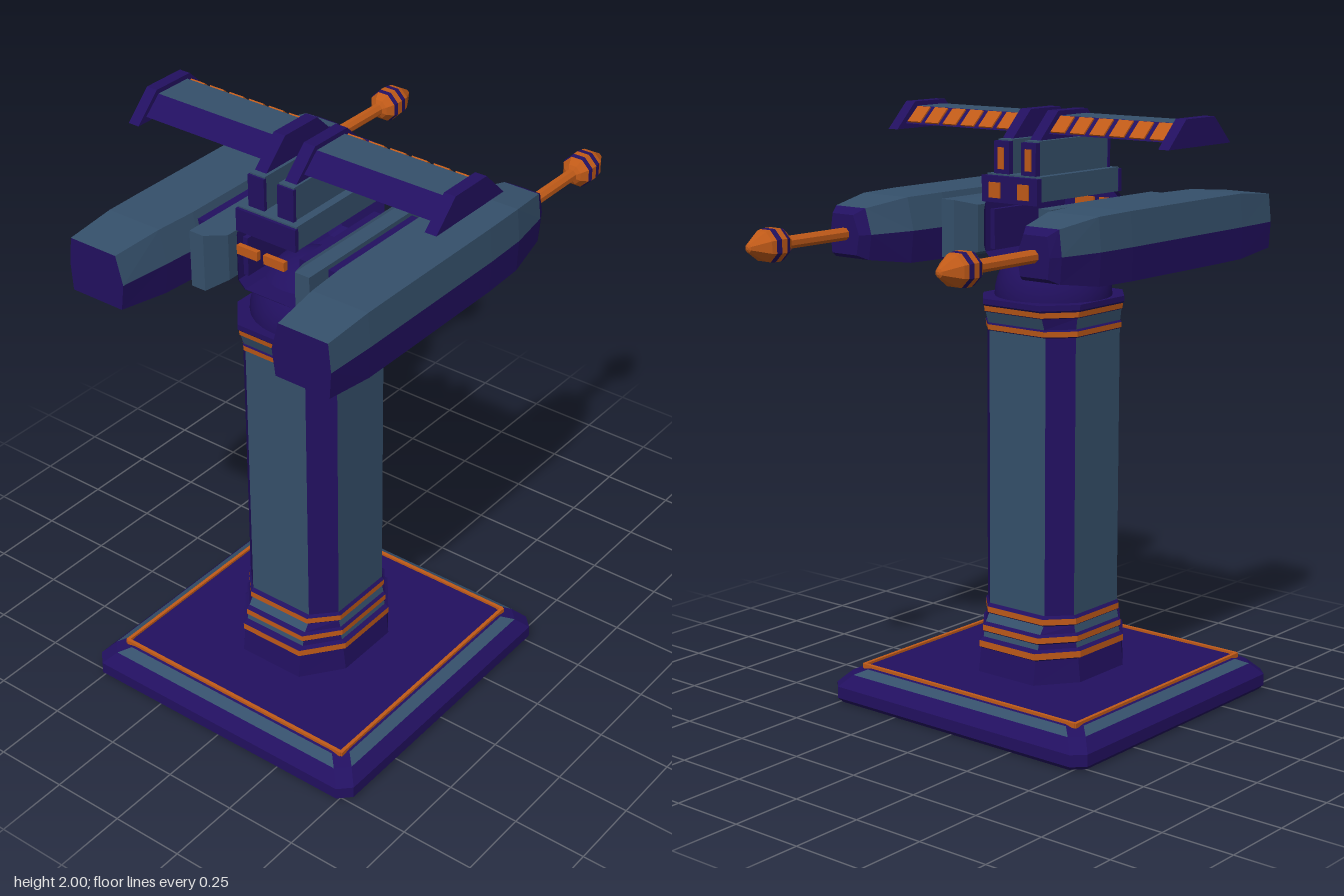
import * as THREE from 'three';

const mat = (color) => new THREE.MeshStandardMaterial({ color, flatShading: true });
const P = mat(0x221060), T = mat(0x35506b), O = mat(0xc05a18);
const CX = -0.2375; // axis of the pedestal

// Skin between rings of points; pick(band, side) gives the material. s = -1 mirrors in z.
function loft(name, rings, pick, capMat = P, s = 1) {
  const buckets = new Map();
  const tri = (m, a, b, c) => {
    if (!buckets.has(m)) buckets.set(m, []);
    for (const p of s > 0 ? [a, b, c] : [a, c, b]) buckets.get(m).push(p[0], p[1], p[2] * s);
  };
  const n = rings[0].length;
  for (let i = 0; i < rings.length - 1; i++) {
    for (let j = 0; j < n; j++) {
      const k = (j + 1) % n, m = pick(i, j);
      const a = rings[i][j], b = rings[i][k], c = rings[i + 1][k], d = rings[i + 1][j];
      tri(m, a, b, c);
      tri(m, a, c, d);
    }
  }
  const first = rings[0], last = rings[rings.length - 1];
  for (let j = 1; j < n - 1; j++) {
    tri(capMat, first[0], first[j + 1], first[j]);
    tri(capMat, last[0], last[j], last[j + 1]);
  }
  const group = new THREE.Group();
  group.name = name;
  for (const [m, pos] of buckets) {
    const g = new THREE.BufferGeometry();
    g.setAttribute('position', new THREE.Float32BufferAttribute(pos, 3));
    g.computeVertexNormals();
    const mesh = new THREE.Mesh(g, m);
    mesh.name = name;
    group.add(mesh);
  }
  return group;
}

// Box given by its extents
function box(name, m, x0, x1, y0, y1, z0, z1) {
  const mesh = new THREE.Mesh(new THREE.BoxGeometry(x1 - x0, y1 - y0, Math.abs(z1 - z0)), m);
  mesh.position.set((x0 + x1) / 2, (y0 + y1) / 2, (z0 + z1) / 2);
  mesh.name = name;
  return mesh;
}

// Chamfered rectangle: half sizes a, b with straight parts of half length fa, fb
const oct = (a, b, fa, fb) => [[-fa, b], [fa, b], [a, fb], [a, -fb], [fa, -b], [-fa, -b], [-a, -fb], [-a, fb]];
const octY = (y, hx, hz, fx, fz) => oct(hx, hz, fx, fz).map(([x, z]) => [CX + x, y, z]);
const octX = (x, y, hy, hz, c) => oct(hz, hy, hz - c, hy - c).map(([z, v]) => [x, y + v, z]).reverse();
const rectZ = (z, x0, x1, y0, y1) => [[x0, y0, z], [x1, y0, z], [x1, y1, z], [x0, y1, z]];
const trapZ = (z, x0, x1, y0, t0, t1, y1) => [[x0, y0, z], [x1, y0, z], [t1, y1, z], [t0, y1, z]];
const mixed = (j) => (j % 2 ? P : T); // flat faces and corner chamfers differ

export function createModel() {
  const model = new THREE.Group();
  const add = (...parts) => model.add(...parts);

  // Base slab: [y, half x, half z]
  const baseRows = [[0, 0.525, 0.527], [0.015, 0.5375, 0.54], [0.055, 0.5375, 0.54], [0.095, 0.5, 0.503], [0.113, 0.465, 0.468], [0.118, 0.455, 0.458]];
  add(loft('base', baseRows.map(([y, a, b]) => octY(y, a, b, a - 0.04, b - 0.04)),
    (i, j) => (i === 3 ? mixed(j) : P)));
  for (const s of [-1, 1]) {
    add(box('baseTrim', O, CX - 0.455, CX + 0.455, 0.11, 0.126, s * 0.455 - 0.006, s * 0.455 + 0.006));
    add(box('baseTrim', O, CX + s * 0.452 - 0.006, CX + s * 0.452 + 0.006, 0.11, 0.126, -0.455, 0.455));
  }

  // Column with stepped foot and flared capital: [y, half x, half z, colour of the band above]
  const rows = [
    [0.115, 0.247, 0.216, P], [0.2, 0.235, 0.206, P], [0.205, 0.243, 0.215, O], [0.227, 0.243, 0.215, P],
    [0.235, 0.222, 0.2, 0], [0.252, 0.218, 0.196, P], [0.257, 0.225, 0.203, O], [0.277, 0.225, 0.203, P],
    [0.285, 0.21, 0.194, 0], [0.31, 0.193, 0.188, P], [0.315, 0.2, 0.195, O], [0.335, 0.2, 0.195, P],
    [0.345, 0.188, 0.187, 0], [1.28, 0.188, 0.187, P], [1.284, 0.196, 0.193, O], [1.302, 0.198, 0.194, P],
    [1.308, 0.195, 0.188, 0], [1.345, 0.208, 0.193, P], [1.348, 0.213, 0.197, O], [1.366, 0.216, 0.199, P],
    [1.372, 0.222, 0.204, P], [1.39, 0.222, 0.204, P],
  ];
  add(loft('column', rows.map(([y, a, b]) => octY(y, a, b, 0.118, 0.118)), (i, j) => rows[i][3] || mixed(j)));

  // Swivel dome
  const dome = new THREE.Mesh(new THREE.SphereGeometry(0.195, 28, 10, 0, Math.PI * 2, 0, Math.PI / 2),
    new THREE.MeshStandardMaterial({ color: 0x221060 }));
  dome.position.set(CX, 1.39, 0);
  dome.name = 'swivelDome';
  add(dome);

  // Central housing
  const housing = [[-0.475, 0.085, 0.095], [-0.445, 0.107, 0.118], [-0.03, 0.107, 0.118], [0.005, 0.08, 0.095]];
  add(loft('housing', housing.map(([x, hy, hz]) => octX(x, 1.625, hy, hz, 0.025)), () => P));

  // Stepped tower on the housing
  add(box('towerBase', T, -0.445, -0.03, 1.72, 1.8, -0.11, 0.11));
  add(box('towerBaseFront', P, -0.03, -0.008, 1.71, 1.795, -0.115, 0.115));
  add(box('towerBaseBack', P, -0.455, -0.44, 1.72, 1.795, -0.113, 0.113));

  for (const s of [-1, 1]) {
    // Tower fins, front and rear inlays
    add(box('towerFin', T, -0.42, -0.055, 1.79, 1.91, s * 0.027, s * 0.083));
    add(box('towerFinFront', P, -0.057, -0.036, 1.79, 1.905, s * 0.025, s * 0.086));
    add(box('towerFinBack', P, -0.427, -0.415, 1.79, 1.905, s * 0.025, s * 0.086));
    add(box('finLight', O, -0.04, -0.032, 1.815, 1.885, s * 0.044, s * 0.068));
    add(box('baseLight', O, -0.012, -0.003, 1.725, 1.775, s * 0.037, s * 0.082));
    add(box('rearLight', O, -0.482, -0.465, 1.66, 1.69, s * 0.012, s * 0.09));

    // Wing with its root and end plates
    const plate = (z) => trapZ(z, -0.402, -0.07, 1.912, -0.312, -0.16, 2);
    add(loft('wingRoot', [plate(0.035), plate(0.078)], () => P, P, s));
    add(loft('wingEnd', [plate(0.538), plate(0.578)], () => P, P, s));
    const wing = (z) => trapZ(z, -0.365, -0.112, 1.93, -0.305, -0.172, 1.985);
    add(loft('wing', [wing(0.07), wing(0.545)], (i, j) => (j % 2 ? P : T), P, s));
    for (let i = 0; i < 6; i++) {
      const cell = new THREE.Mesh(new THREE.BoxGeometry(0.07, 0.012, 0.056), O);
      cell.position.set(-0.142, 1.957, s * (0.112 + i * 0.078));
      cell.rotation.z = -0.742;
      cell.name = 'wingCell';
      add(cell);
    }

    // Bracket and links joining the housing to the pod
    add(loft('bracket', [rectZ(0.142, -0.46, -0.02, 1.54, 1.695), rectZ(0.175, -0.535, 0.06, 1.525, 1.715),
      rectZ(0.228, -0.535, 0.06, 1.525, 1.715)], () => T, T, s));
    add(box('innerLink', P, -0.42, -0.055, 1.55, 1.68, s * 0.1, s * 0.15));
    add(box('outerLink', P, -0.445, -0.035, 1.535, 1.7, s * 0.22, s * 0.275));

    // Gun pod: [x, top, bottom, inner z, outer z]
    const pod = [[-0.775, 1.71, 1.53, 0.282, 0.495], [-0.6, 1.726, 1.511, 0.265, 0.5], [-0.46, 1.727, 1.51, 0.255, 0.5],
      [0.0, 1.727, 1.51, 0.255, 0.5], [0.155, 1.724, 1.512, 0.266, 0.495], [0.312, 1.7, 1.535, 0.305, 0.468], [0.348, 1.68, 1.552, 0.325, 0.45]];
    add(loft('gunPod', pod.map(([x, t, b, zi, zo]) => [[x, t, zi + 0.025], [x, t, zo - 0.01], [x, 1.617, zo],
      [x, b, zo - 0.006], [x, b, zi + 0.012], [x, 1.617, zi]]),
    (i, j) => (i < 5 && (j < 2 || j === 5) ? T : P), P, s));

    // Barrel and tip: [x, radius, colour of the band ahead]
    const barrel = [[0.33, 0.021, O], [0.61, 0.021, O], [0.617, 0.034, O], [0.64, 0.052, P], [0.655, 0.056, O],
      [0.678, 0.056, P], [0.698, 0.054, O], [0.715, 0.05, O], [0.772, 0.014, O], [0.776, 0.005, O]];
    add(loft('barrel', barrel.map(([x, r]) => Array.from({ length: 8 }, (_, k) => {
      const a = (k + 0.5) * Math.PI / 4;
      return [x, 1.617 + r * Math.cos(a), 0.388 + r * Math.sin(a)];
    })), (i) => barrel[i][2], O, s));
  }
  return model;
}
